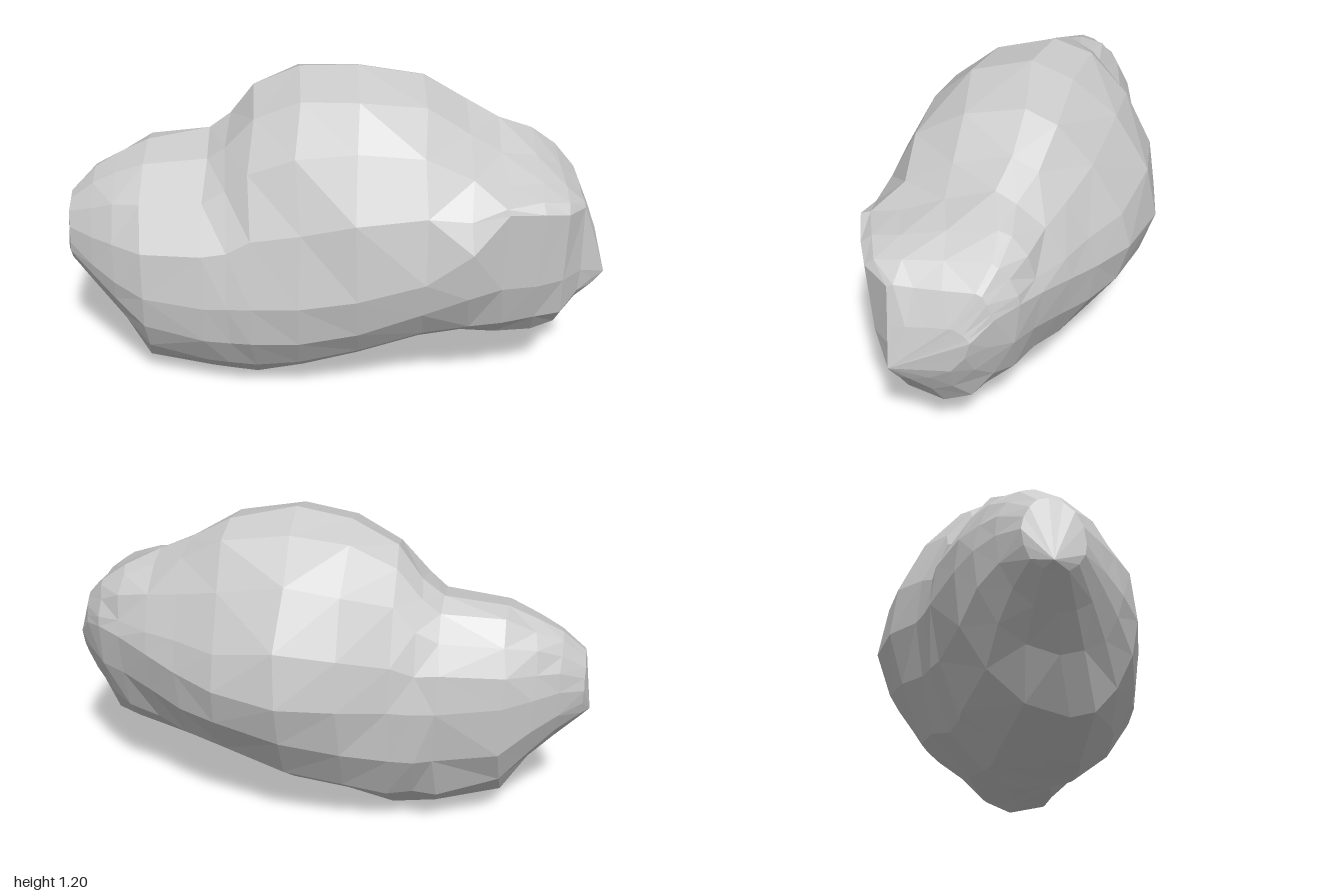
import * as THREE from 'three';

// Cross-sections along x: [x, topY, topZ, bottomY, bottomZ, frontZ, frontY, backZ, backY]
const SECTIONS = [
  [-0.97, 0.70, -0.01, 0.43, 0.01, 0.11, 0.54, -0.10, 0.58],
  [-0.88, 0.785, -0.04, 0.34, 0.03, 0.19, 0.49, -0.17, 0.60],
  [-0.79, 0.835, -0.06, 0.235, 0.05, 0.265, 0.46, -0.23, 0.59],
  [-0.68, 0.885, -0.07, 0.07, 0.10, 0.335, 0.43, -0.28, 0.57],
  [-0.45, 0.92, -0.10, 0.01, 0.06, 0.39, 0.42, -0.34, 0.56],
  [-0.37, 0.98, -0.10, 0.005, 0.06, 0.405, 0.43, -0.355, 0.56],
  [-0.28, 1.10, -0.09, 0.00, 0.07, 0.425, 0.44, -0.375, 0.57],
  [-0.11, 1.18, -0.07, 0.03, 0.06, 0.455, 0.46, -0.46, 0.60],
  [0.10, 1.20, -0.03, 0.10, 0.06, 0.47, 0.50, -0.495, 0.61],
  [0.34, 1.15, -0.06, 0.18, 0.05, 0.47, 0.57, -0.435, 0.63],
  [0.50, 1.06, -0.05, 0.195, 0.08, 0.485, 0.70, -0.345, 0.65],
  [0.62, 1.00, -0.02, 0.21, 0.10, 0.45, 0.84, -0.28, 0.68],
  [0.75, 0.94, -0.06, 0.225, 0.11, 0.41, 0.82, -0.205, 0.71],
  [0.84, 0.875, -0.06, 0.25, 0.12, 0.37, 0.80, -0.15, 0.72],
  [0.91, 0.80, -0.02, 0.36, 0.14, 0.275, 0.78, -0.08, 0.70],
  [0.96, 0.68, 0.06, 0.44, 0.20, 0.265, 0.64, -0.01, 0.63],
];
const SIDES = 16;

function seeded(seed) {
  return () => {
    seed = (seed * 16807) % 2147483647;
    return seed / 2147483647 - 0.5;
  };
}

// Roundness of an arc: below 1 is boxy, 1 is elliptic, above 1 is straighter
function arcPower(x, up, out) {
  if (out >= 0 && up >= 0) return x > 0 && x < 0.45 ? 0.92 : 1;
  if (out >= 0) return x > 0.9 ? 0.5 : x > 0.55 ? 0.75 : 1;
  if (up >= 0) return x < -0.4 ? 1 : x > 0.3 ? 1.35 : 1.15;
  return x < -0.2 ? 1 : 1.12;
}

// One ring: four curved arcs joining the top, front, bottom and back extremes
function ring([x, topY, topZ, botY, botZ, frontZ, frontY, backZ, backY], rand) {
  const size = Math.min(1, (topY - botY) / 0.8);
  const dent = 0.07 * Math.exp(-(((x - 0.6) / 0.14) ** 2));
  const points = [];
  for (let j = 0; j < SIDES; j++) {
    const a = (j / SIDES) * Math.PI * 2;
    const up = Math.cos(a), out = Math.sin(a);
    const poleY = up >= 0 ? topY : botY, poleZ = up >= 0 ? topZ : botZ;
    const sideY = out >= 0 ? frontY : backY, sideZ = out >= 0 ? frontZ : backZ;
    const power = arcPower(x, up, out);
    let y = sideY + (poleY - sideY) * Math.abs(up) ** power;
    const z = poleZ + (sideZ - poleZ) * Math.abs(out) ** power;
    // hollow shelf behind the right shoulder
    if (up > 0 && out > 0) y -= dent * Math.sin(2 * a);
    // irregularity, kept off the four extremes
    const n = j % (SIDES / 4) ? 0.02 * size : 0;
    points.push(new THREE.Vector3(x + n * rand(), y + n * rand(), z + n * rand()));
  }
  return points;
}

function rockGeometry() {
  const rand = seeded(4127);
  const rings = SECTIONS.map((s) => ring(s, rand));
  const leftTip = new THREE.Vector3(-1, 0.46, 0);
  const rightTip = new THREE.Vector3(1, 0.51, 0.26);
  const last = rings[rings.length - 1];
  const corners = [];
  for (let j = 0; j < SIDES; j++) {
    const k = (j + 1) % SIDES;
    for (let i = 0; i < rings.length - 1; i++) {
      const a = rings[i][j], b = rings[i][k], c = rings[i + 1][k], d = rings[i + 1][j];
      // split each patch along its shorter diagonal
      if (a.distanceTo(c) < b.distanceTo(d)) corners.push(a, b, c, a, c, d);
      else corners.push(a, b, d, b, c, d);
    }
    // end caps
    corners.push(leftTip, rings[0][k], rings[0][j], rightTip, last[j], last[k]);
  }
  const geometry = new THREE.BufferGeometry().setFromPoints(corners);
  geometry.computeVertexNormals();
  return geometry;
}

export function createModel() {
  const group = new THREE.Group();
  group.name = 'boulder';
  const rock = new THREE.Mesh(
    rockGeometry(),
    new THREE.MeshStandardMaterial({ color: 0xcccccc, flatShading: true }),
  );
  rock.name = 'rock';
  group.add(rock);
  return group;
}
